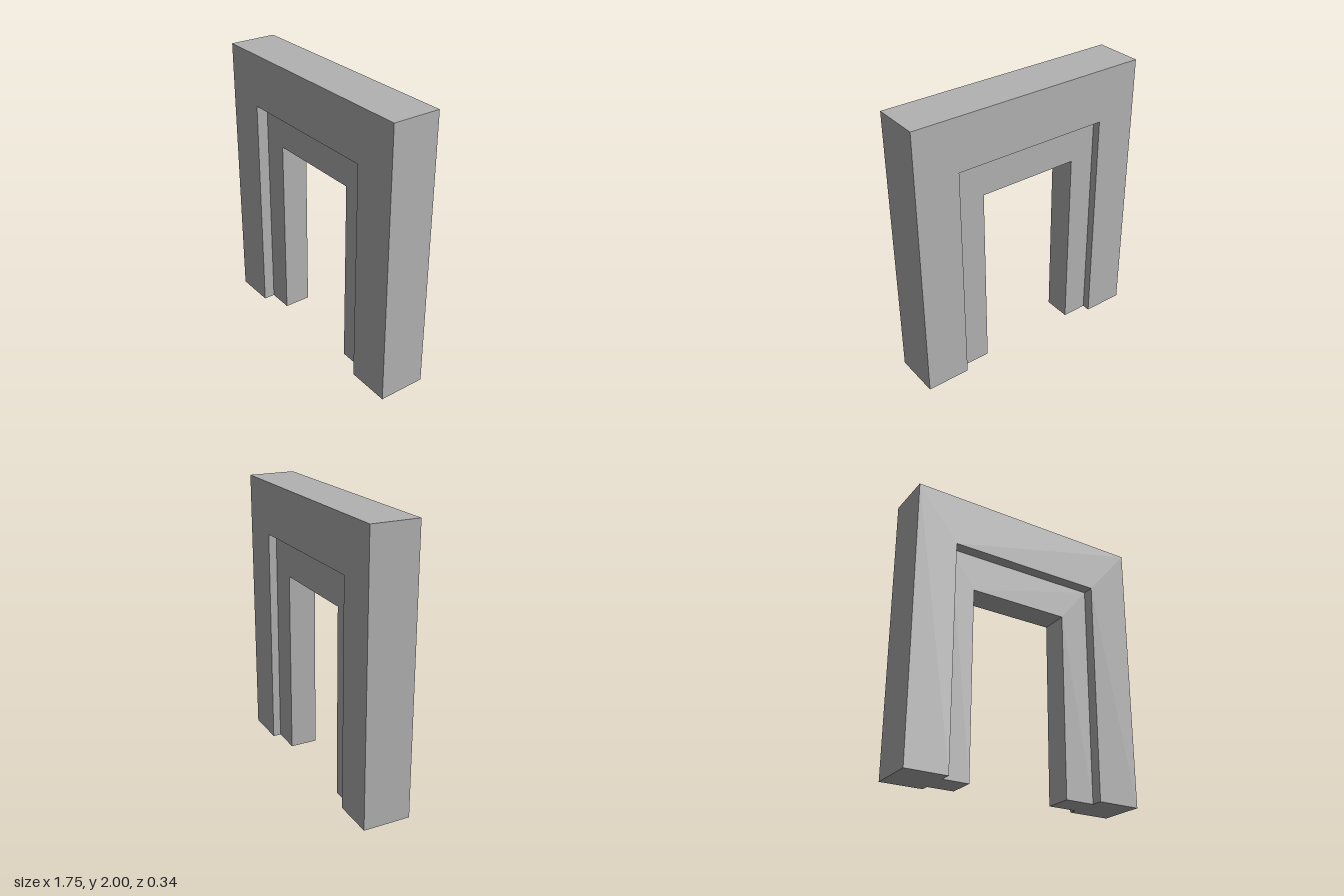
import * as THREE from 'three';

const stone = new THREE.MeshStandardMaterial({ color: 0xb2b2b2 });
stone.name = 'grey stone';

const LEFT_FOOT = 0.008;  // the +x leg ends slightly higher
const RIGHT_FOOT = 0;

// Upside-down U frame between an outer and an inner outline, from z0 to z1
function frame(name, outer, inner, z0, z1) {
  const shape = new THREE.Shape([
    [outer.x0, RIGHT_FOOT], [inner.x0, RIGHT_FOOT], [inner.x0, inner.top], [inner.x1, inner.top],
    [inner.x1, LEFT_FOOT], [outer.x1, LEFT_FOOT], [outer.x1, outer.top], [outer.x0, outer.top],
  ].map(([x, y]) => new THREE.Vector2(x, y)));
  const geometry = new THREE.ExtrudeGeometry(shape, { depth: z1 - z0, bevelEnabled: false });
  geometry.translate(0, 0, z0);
  const mesh = new THREE.Mesh(geometry, stone);
  mesh.name = name;
  return mesh;
}

export function createModel() {
  const group = new THREE.Group();
  group.name = 'doorway';

  const wall = { x0: -0.876, x1: 0.876, top: 2 };
  const recess = { x0: -0.577, x1: 0.561, top: 1.625 };
  const opening = { x0: -0.39, x1: 0.345, top: 1.36 };

  // Full-depth outer portal
  group.add(frame('outerPortal', wall, recess, -0.17, 0.17));
  // Thinner inner jamb and lintel, set back on both sides
  group.add(frame('innerJamb', recess, opening, -0.112, 0.088));

  return group;
}
